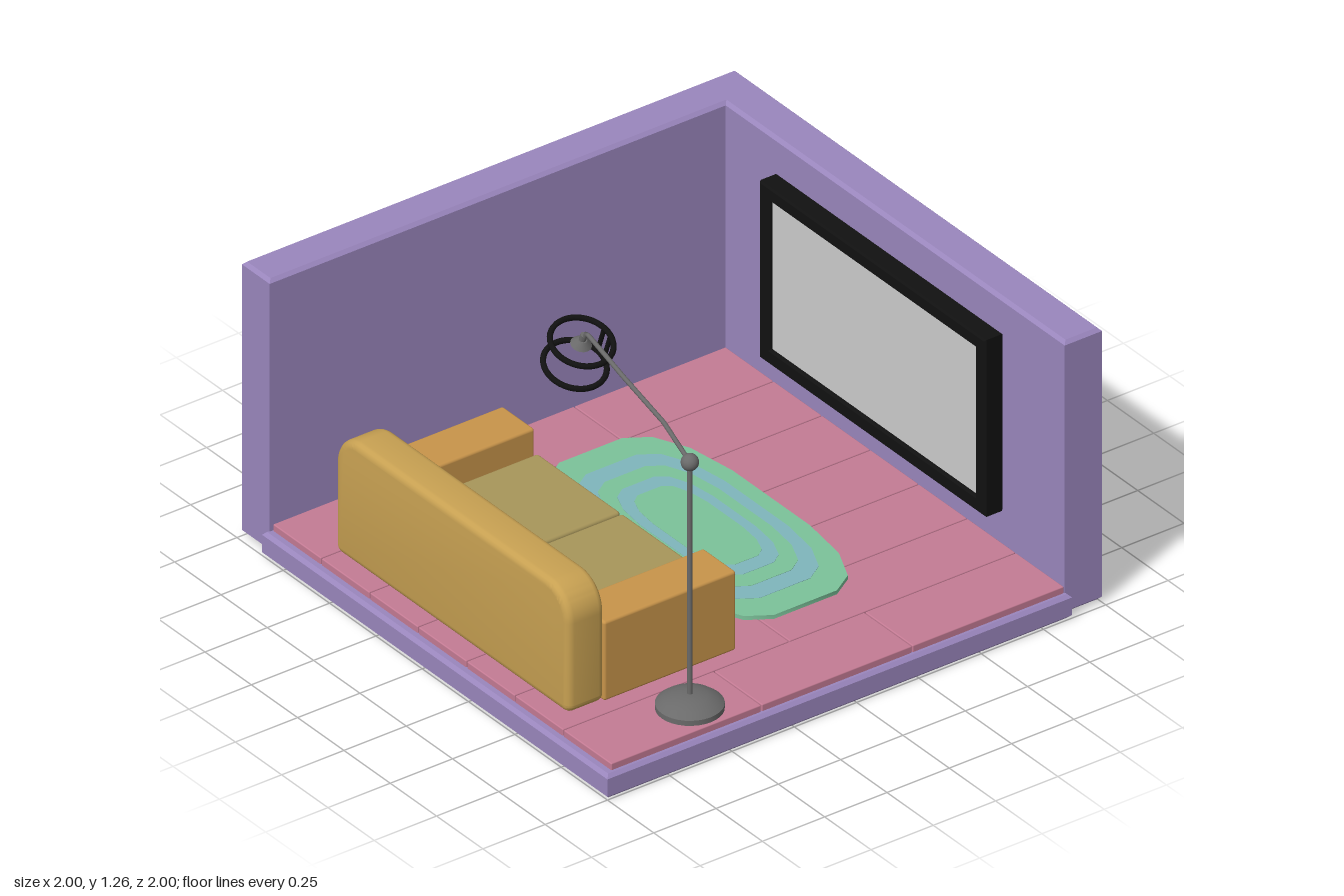
import * as THREE from 'three';
import { toCreasedNormals } from 'three/addons/utils/BufferGeometryUtils.js';
import { RoundedBoxGeometry } from 'three/addons/geometries/RoundedBoxGeometry.js';

const mat = (color) => new THREE.MeshStandardMaterial({ color });
const M = {
  wall: mat(0x9a86bd), plank: mat(0xc47b94), green: mat(0x7cc29a), blue: mat(0x7fb6bc),
  back: mat(0xc8a152), arm: mat(0xc8944a), seat: mat(0xa8965a),
  black: mat(0x111111), screen: mat(0xcccccc), metal: mat(0x6a6a6a), bulb: mat(0xcccccc),
};

function add(parent, name, geometry, material, x = 0, y = 0, z = 0) {
  const mesh = new THREE.Mesh(geometry, material);
  mesh.name = name;
  mesh.position.set(x, y, z);
  parent.add(mesh);
  return mesh;
}

// Rounded box given by its limits on each axis
function block(parent, name, material, [x0, x1], [y0, y1], [z0, z1], r) {
  const geo = new RoundedBoxGeometry(x1 - x0, y1 - y0, z1 - z0, 3, r);
  return add(parent, name, geo, material, (x0 + x1) / 2, (y0 + y1) / 2, (z0 + z1) / 2);
}

// Extrusion with a bevel kept inside the outline
function extrude(shape, depth, bevel, segments = 1) {
  const geo = new THREE.ExtrudeGeometry(shape, {
    depth: depth - 2 * bevel, bevelEnabled: bevel > 0, bevelSize: bevel, bevelThickness: bevel,
    bevelOffset: -bevel, bevelSegments: segments, curveSegments: 10,
  });
  geo.translate(0, 0, bevel);
  return toCreasedNormals(geo, 0.6);
}

const outline = (pts) => new THREE.Shape(pts.map(([x, y]) => new THREE.Vector2(x, y)));

// Horizontal slab from [x, z] corners
function slab(parent, name, material, pts, y0, y1, bevel) {
  const geo = extrude(outline(pts.map(([x, z]) => [x, -z])), y1 - y0, bevel);
  geo.rotateX(-Math.PI / 2);
  return add(parent, name, geo, material, 0, y0, 0);
}

function buildRoom() {
  const room = new THREE.Group();
  room.name = 'room';
  slab(room, 'walls', M.wall,
    [[-1, -1], [0.98, -1], [0.98, -0.85], [-0.85, -0.85], [-0.85, 0.98], [-1, 0.98]], 0.01, 1.04, 0.012);
  slab(room, 'floorBase', M.wall, [[-0.865, -0.865], [1, -0.865], [1, 1], [-0.865, 1]], 0, 0.09, 0.012);

  // Planks in seven columns with staggered joints
  const w = 1.83 / 7, gap = 0.002;
  for (let i = 0; i < 7; i++) {
    const joints = i % 2 ? [-0.85, 0.06, 0.97] : [-0.85, -0.24, 0.365, 0.97];
    for (let j = 0; j + 1 < joints.length; j++) {
      const x = -0.85 + i * w;
      block(room, 'floorPlank', M.plank, [x + gap, x + w - gap], [0.085, 0.115],
        [joints[j] + gap, joints[j + 1] - gap], 0.004);
    }
  }
  return room;
}

function buildRug() {
  const rug = new THREE.Group();
  rug.name = 'rug';
  const quarter = [[0.36, 1], [0.69, 0.91], [0.91, 0.71], [1, 0.43]];
  // Nested bands, alternately coloured
  [[0.58, 0.294], [0.47, 0.235], [0.395, 0.19], [0.325, 0.147], [0.263, 0.11]].forEach(([a, b], i) => {
    const flip = (sx, sz) => quarter.map(([x, z]) => [sx * x * a, sz * z * b - 0.107]);
    const pts = [...flip(1, 1).reverse(), ...flip(-1, 1), ...flip(-1, -1).reverse(), ...flip(1, -1)];
    slab(rug, 'rugBand', i % 2 ? M.blue : M.green, pts, 0.114, 0.13 + i * 0.0012, 0);
  });
  return rug;
}

function buildSofa() {
  const sofa = new THREE.Group();
  sofa.name = 'sofa';
  // Backrest with large rounded top corners
  const s = new THREE.Shape(), x0 = -0.58, x1 = 0.68, y0 = 0.13, y1 = 0.59, r = 0.12, q = 0.03;
  s.moveTo(x0 + q, y0);
  s.lineTo(x1 - q, y0);
  s.absarc(x1 - q, y0 + q, q, -Math.PI / 2, 0);
  s.absarc(x1 - r, y1 - r, r, 0, Math.PI / 2);
  s.absarc(x0 + r, y1 - r, r, Math.PI / 2, Math.PI);
  s.absarc(x0 + q, y0 + q, q, Math.PI, Math.PI * 1.5);
  add(sofa, 'backrest', extrude(s, 0.15, 0.026, 4), M.back, 0, 0, 0.77);

  for (const [a, b] of [[-0.58, -0.407], [0.503, 0.68]])
    block(sofa, 'armrest', M.arm, [a, b], [0.13, 0.43], [0.245, 0.775], 0.01);
  block(sofa, 'seatBase', M.arm, [-0.41, 0.505], [0.13, 0.27], [0.25, 0.775], 0.008);
  for (const [a, b] of [[-0.405, 0.044], [0.052, 0.501]])
    block(sofa, 'seatCushion', M.seat, [a, b], [0.265, 0.335], [0.235, 0.775], 0.012);
  return sofa;
}

function buildTelevision() {
  const tv = new THREE.Group();
  tv.name = 'television';
  const rect = (x0, x1, y0, y1) => [[x0, y0], [x1, y0], [x1, y1], [x0, y1]];
  const frame = outline(rect(-0.57, 0.65, 0.24, 0.91));
  frame.holes.push(new THREE.Path(rect(-0.515, 0.595, 0.295, 0.858)
    .reverse().map(([x, y]) => new THREE.Vector2(x, y))));
  add(tv, 'televisionFrame', extrude(frame, 0.075, 0.006), M.black, 0, 0, -0.85);
  add(tv, 'televisionScreen', new THREE.BoxGeometry(1.12, 0.575, 0.06), M.screen, 0.04, 0.577, -0.818);
  return tv;
}

function buildLamp() {
  const lamp = new THREE.Group();
  lamp.name = 'floorLamp';
  lamp.position.set(0.853, 0, 0.56);
  const foot = [[0, 0.115], [0.113, 0.115], [0.113, 0.134], [0.09, 0.152], [0.06, 0.163], [0.03, 0.169], [0, 0.17]];
  add(lamp, 'lampFoot',
    toCreasedNormals(new THREE.LatheGeometry(foot.map((p) => new THREE.Vector2(...p)), 32), 0.6), M.metal);
  add(lamp, 'lampPole', new THREE.CylinderGeometry(0.009, 0.009, 0.89, 16), M.metal, 0, 0.6, 0);
  add(lamp, 'lampJoint', new THREE.SphereGeometry(0.03, 20, 14), M.metal, 0, 1.045, 0);

  // Bent arm reaching over the sofa
  const pts = [[0, 1.045], [-0.14, 1.125], [-0.36, 1.19], [-0.53, 1.247], [-0.558, 1.255], [-0.578, 1.215]]
    .map(([x, y]) => new THREE.Vector3(x, y, 0));
  const arm = new THREE.CurvePath();
  for (let i = 0; i + 1 < pts.length; i++) arm.add(new THREE.LineCurve3(pts[i], pts[i + 1]));
  add(lamp, 'lampArm', new THREE.TubeGeometry(arm, 60, 0.008, 10), M.metal);

  // Tilted head: two hoops joined by struts, with a bulb in its holder
  const head = new THREE.Group();
  head.name = 'lampHead';
  head.position.set(-0.602, 1.158, 0);
  head.rotation.z = -0.34;
  for (const y of [-0.055, 0.055])
    add(head, 'lampHoop', new THREE.TorusGeometry(0.105, 0.01, 10, 40).rotateX(Math.PI / 2), M.black, 0, y, 0);
  for (const a of [-0.17, 0.17])
    add(head, 'hoopStrut', new THREE.CylinderGeometry(0.008, 0.008, 0.11, 8), M.black,
      0.105 * Math.sin(a), 0, -0.105 * Math.cos(a));
  add(head, 'bulbHolder', new THREE.CylinderGeometry(0.016, 0.036, 0.022, 20), M.metal, 0, 0.056, 0);
  add(head, 'lampSocket', new THREE.CylinderGeometry(0.012, 0.012, 0.03, 16), M.metal, 0, 0.075, 0);
  add(head, 'bulb', new THREE.SphereGeometry(0.024, 16, 12), M.bulb, 0, 0.043, 0);
  lamp.add(head);
  return lamp;
}

export function createModel() {
  const model = new THREE.Group();
  model.name = 'livingRoom';
  model.add(buildRoom(), buildRug(), buildSofa(), buildTelevision(), buildLamp());
  return model;
}
